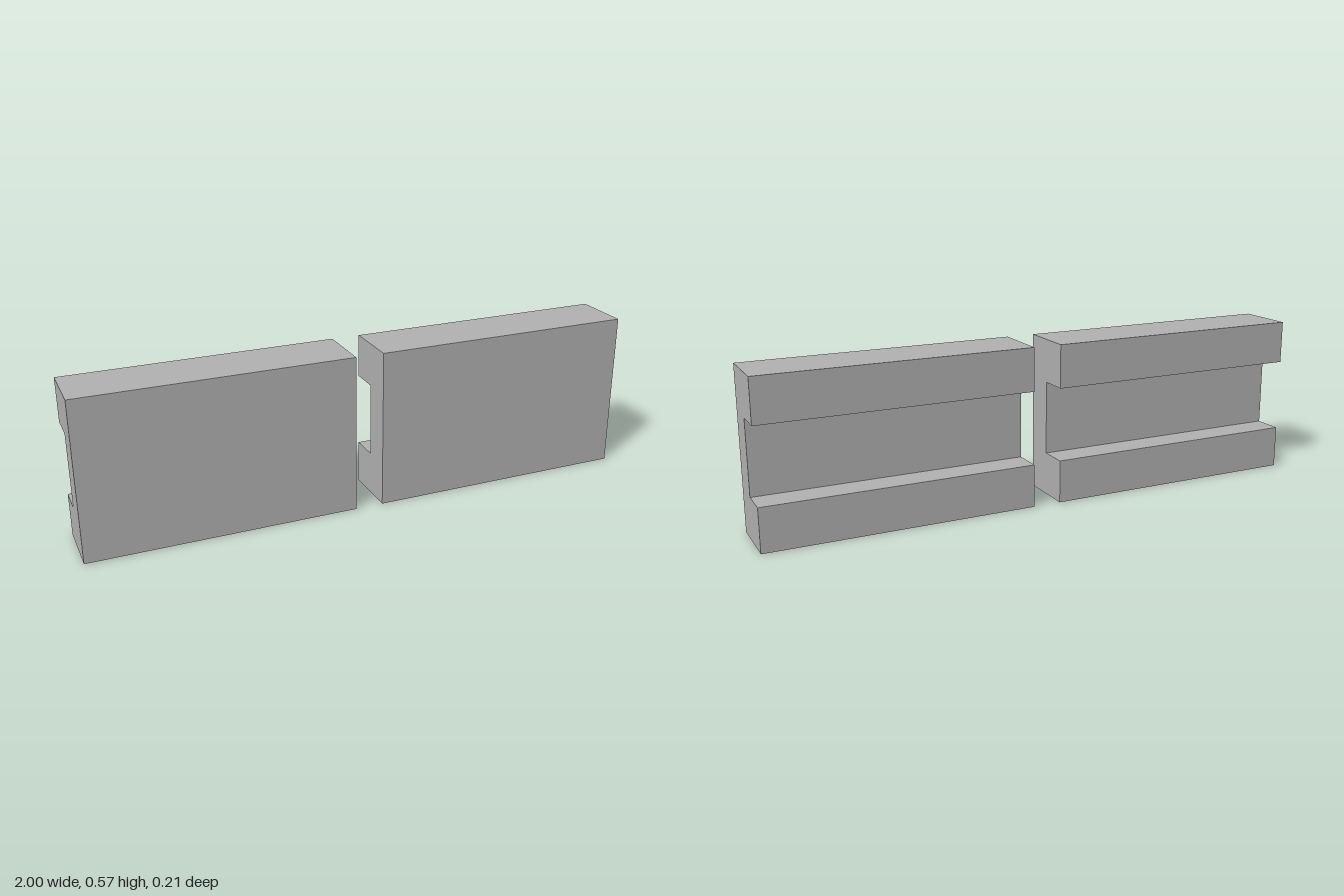
import * as THREE from 'three';

const HEIGHT = 0.566, HALF_DEPTH = 0.105;
const GROOVE_BOTTOM = 0.153, GROOVE_TOP = 0.413;
const INNER_X = 0.05, OUTER_X = 1;

export function createModel() {
  const group = new THREE.Group();
  group.name = 'channelBlocks';
  const grey = new THREE.MeshStandardMaterial({ color: 0xb2b2b2 });
  grey.name = 'grey';

  // C-shaped cross-section, open towards the back (shape x = -z)
  const profile = new THREE.Shape([
    [-HALF_DEPTH, 0], [HALF_DEPTH, 0],
    [HALF_DEPTH, GROOVE_BOTTOM], [0, GROOVE_BOTTOM],
    [0, GROOVE_TOP], [HALF_DEPTH, GROOVE_TOP],
    [HALF_DEPTH, HEIGHT], [-HALF_DEPTH, HEIGHT],
  ].map(([x, y]) => new THREE.Vector2(x, y)));

  // Extrude the section along x
  const geometry = new THREE.ExtrudeGeometry(profile, {
    depth: OUTER_X - INNER_X, bevelEnabled: false,
  });
  geometry.rotateY(Math.PI / 2);

  // Two matching blocks with a gap between them
  for (const [name, x] of [['leftBlock', INNER_X], ['rightBlock', -OUTER_X]]) {
    const block = new THREE.Mesh(geometry, grey);
    block.name = name;
    block.position.x = x;
    group.add(block);
  }
  return group;
}
